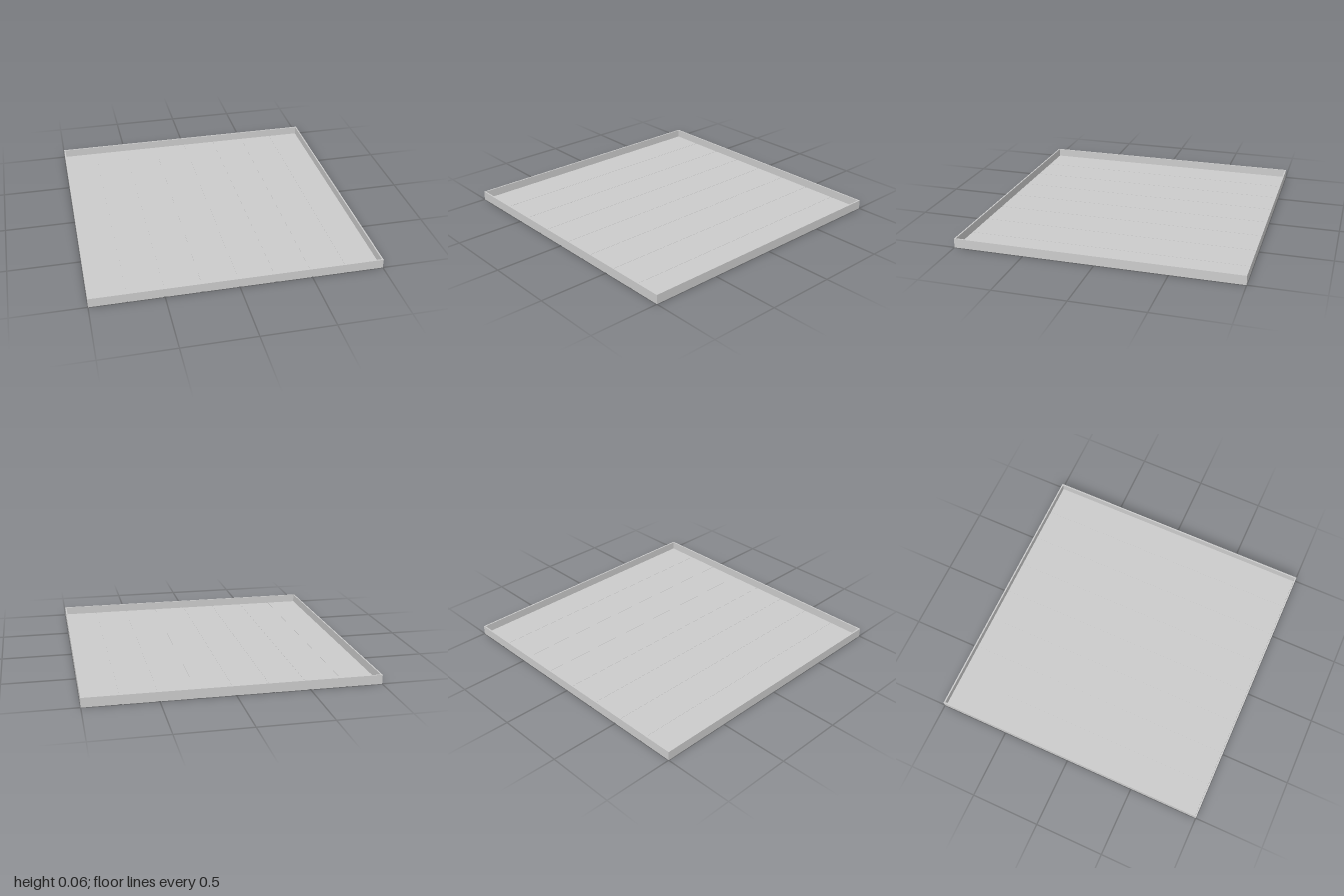
import * as THREE from 'three';

const HEIGHT = 0.065, WALL = 0.01, FLOOR = 0.006, GAP = 0.016, COUNT = 8;

export function createModel() {
  const model = new THREE.Group();
  model.name = 'shallowTray';
  const material = new THREE.MeshStandardMaterial({ color: 0xcccccc, flatShading: true });

  const addBox = (name, w, h, d, x, y, z) => {
    const mesh = new THREE.Mesh(new THREE.BoxGeometry(w, h, d), material);
    mesh.name = name;
    mesh.position.set(x, y, z);
    model.add(mesh);
  };

  // Thin core that closes the grooves between the boards
  addBox('floorCore', 1.99, FLOOR - 0.003, 1.99, 0, FLOOR / 2, 0);

  // Floor boards running front to back
  const pitch = 2 / COUNT;
  for (let i = 0; i < COUNT; i++) {
    const left = i === 0 ? -1 : -1 + i * pitch + GAP / 2;
    const right = i === COUNT - 1 ? 1 : -1 + (i + 1) * pitch - GAP / 2;
    addBox('floorBoard', right - left, FLOOR, 2, (left + right) / 2, FLOOR / 2, 0);
  }

  // Thin upright rim on all four sides
  const h = HEIGHT - 0.003, y = 0.003 + h / 2, offset = 1 - WALL / 2;
  for (const s of [1, -1]) {
    addBox(s > 0 ? 'frontWall' : 'backWall', 2, h, WALL, 0, y, s * offset);
    addBox(s > 0 ? 'leftWall' : 'rightWall', WALL, h, 2 - 2 * WALL, s * offset, y, 0);
  }
  return model;
}
